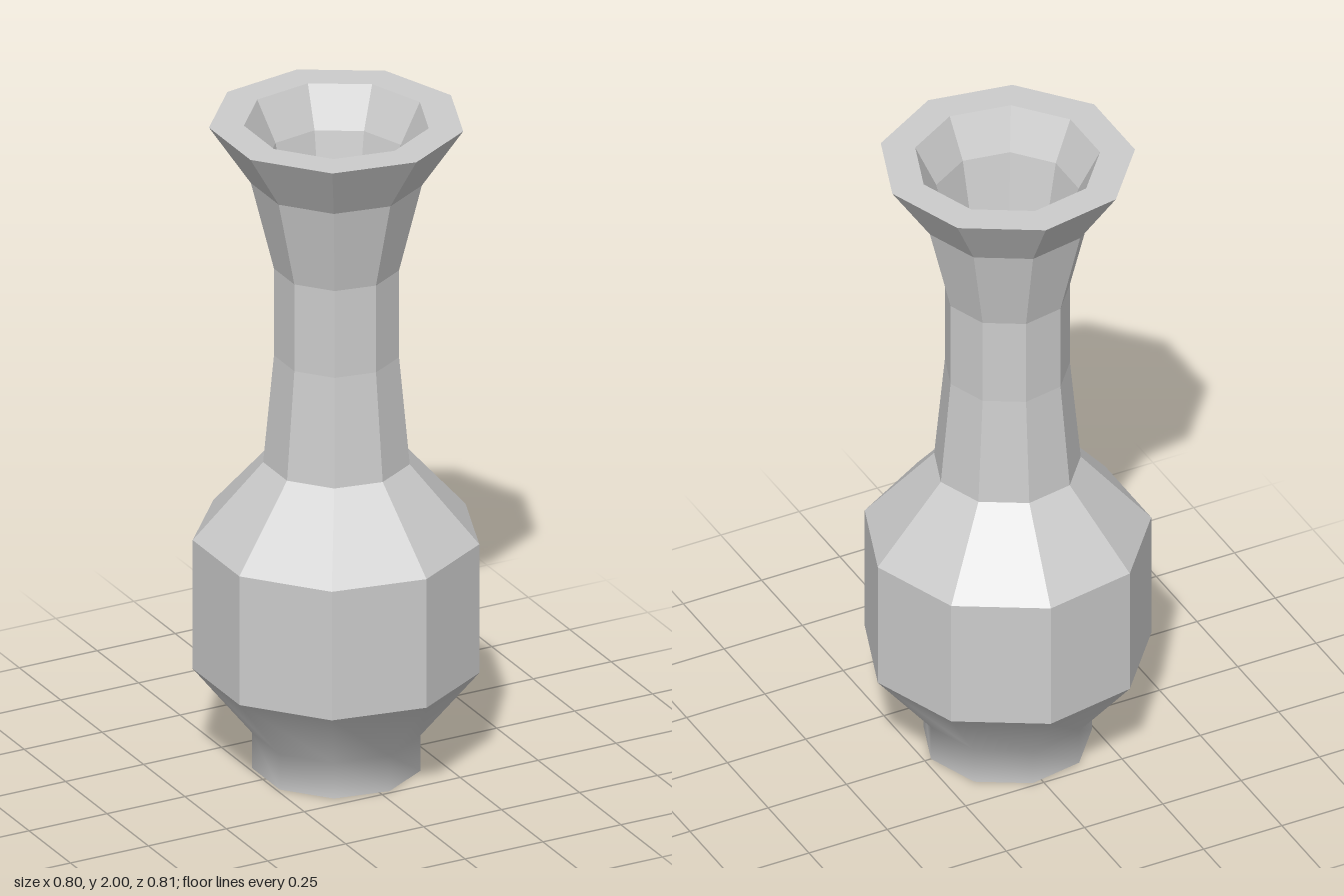
import * as THREE from 'three';

const SIDES = 9;
const OFFSET = -0.0125; // an odd-sided ring sits off its bounding-box centre

// Revolve [radius, height] pairs; profiles run up the outside and down the inside
function ring(name, profile, flatShading) {
  const points = profile.map(([r, y]) => new THREE.Vector2(r, y));
  const geometry = new THREE.LatheGeometry(points, SIDES, Math.PI / 2);
  const material = new THREE.MeshStandardMaterial({ color: 0xcccccc, flatShading });
  const mesh = new THREE.Mesh(geometry, material);
  mesh.name = name;
  mesh.position.x = OFFSET;
  return mesh;
}

export function createModel() {
  const vase = new THREE.Group();
  vase.name = 'vase';

  // Flat underside
  vase.add(ring('base', [[0, 0], [0.2425, 0]], true));

  // Smooth-shaded foot flaring up to the belly
  vase.add(ring('foot', [[0.2425, 0], [0.2425, 0.11], [0.4125, 0.32]], false));

  // Straight-sided belly and sloping shoulder
  vase.add(ring('belly', [[0.4125, 0.32], [0.4125, 0.72]], true));
  vase.add(ring('shoulder', [[0.4125, 0.72], [0.211, 0.95]], true));

  // Slim neck opening into the flared mouth
  vase.add(ring('neck', [[0.211, 0.95], [0.18, 1.28], [0.18, 1.55]], true));
  vase.add(ring('mouth', [[0.18, 1.55], [0.246, 1.82], [0.366, 2]], true));

  // Wide flat lip
  vase.add(ring('lip', [[0.366, 2], [0.266, 2]], true));

  // Hollow inside with a flat floor
  vase.add(ring('interior', [
    [0.266, 2], [0.205, 1.88], [0.1425, 1.57], [0.1425, 1.28],
    [0.17, 0.95], [0.36, 0.7], [0.36, 0.34], [0.2, 0.13], [0.2, 0.05], [0, 0.05],
  ], true));

  return vase;
}
